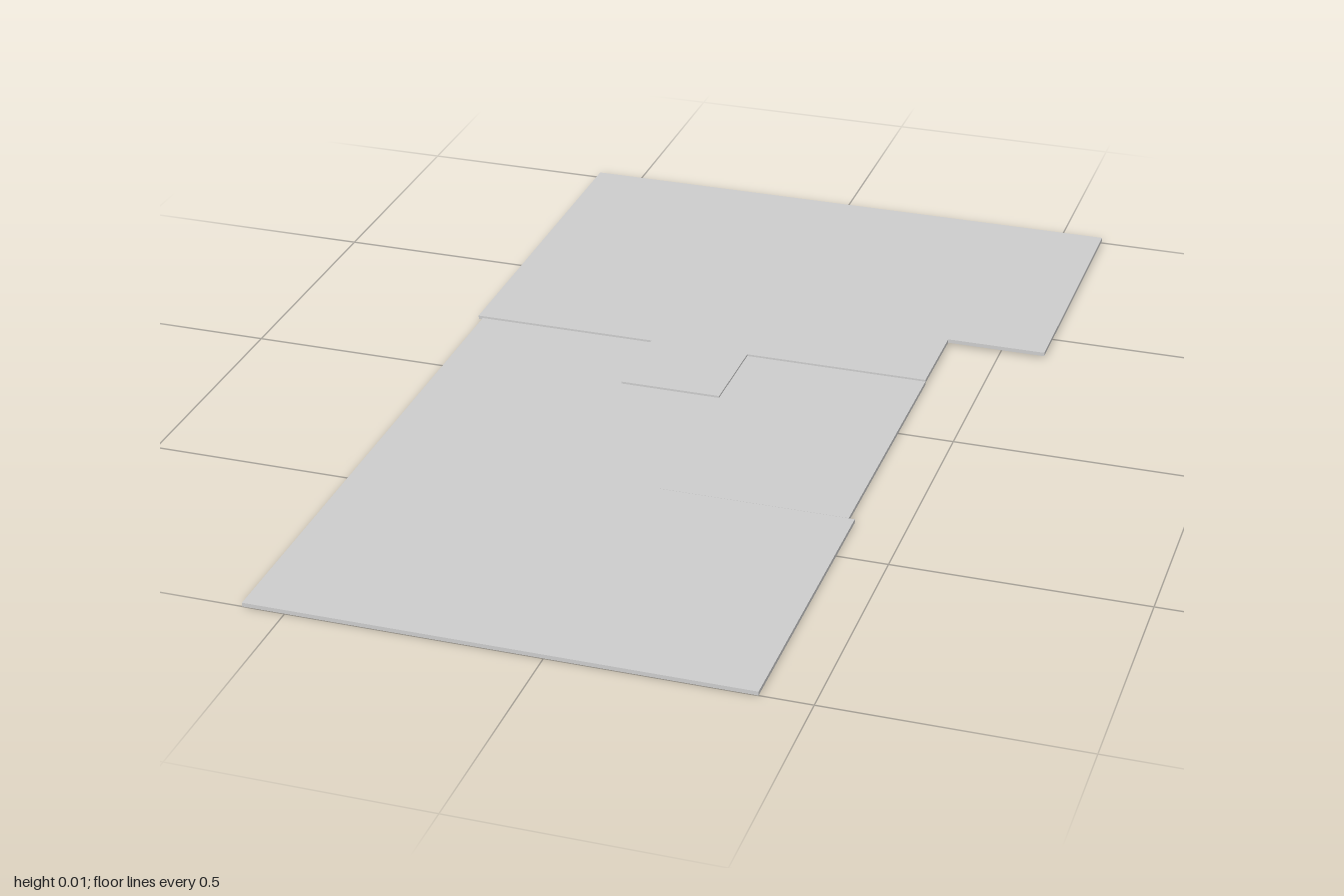
import * as THREE from 'three';

const THICK = 0.008;

// Flat slab from a plan outline of [x, z] corners, lying with its underside at y.
function slab(name, outline, y, material) {
  const shape = new THREE.Shape(outline.map(([x, z]) => new THREE.Vector2(x, -z)));
  const geometry = new THREE.ExtrudeGeometry(shape, { depth: THICK, bevelEnabled: false });
  geometry.rotateX(-Math.PI / 2);
  const mesh = new THREE.Mesh(geometry, material);
  mesh.name = name;
  mesh.position.y = y;
  return mesh;
}

export function createModel() {
  const model = new THREE.Group();
  model.name = 'floorPlan';
  const grey = new THREE.MeshStandardMaterial({ color: 0xcccccc });
  grey.name = 'lightGrey';

  // Raised rear floor, with the wide back room and a small landing at the front
  model.add(slab('rearFloor', [
    [-0.593, -1], [-0.593, -0.217], [-0.205, -0.217], [-0.205, -0.022], [0.005, -0.022],
    [0.005, -0.217], [0.387, -0.217], [0.387, -0.41], [0.593, -0.41], [0.593, -1],
  ], 0.0045, grey));

  // Lower front floor, wrapping around the landing
  model.add(slab('frontFloor', [
    [-0.584, -0.217], [-0.584, 1], [0.399, 1], [0.399, 0.37], [0.005, 0.37],
    [0.005, -0.022], [-0.205, -0.022], [-0.205, -0.217],
  ], 0, grey));

  // Side floor beside the landing, a hair above the front floor
  model.add(slab('sideFloor', [
    [0.005, -0.217], [0.005, 0.37], [0.387, 0.37], [0.387, -0.217],
  ], 0.0004, grey));

  return model;
}
